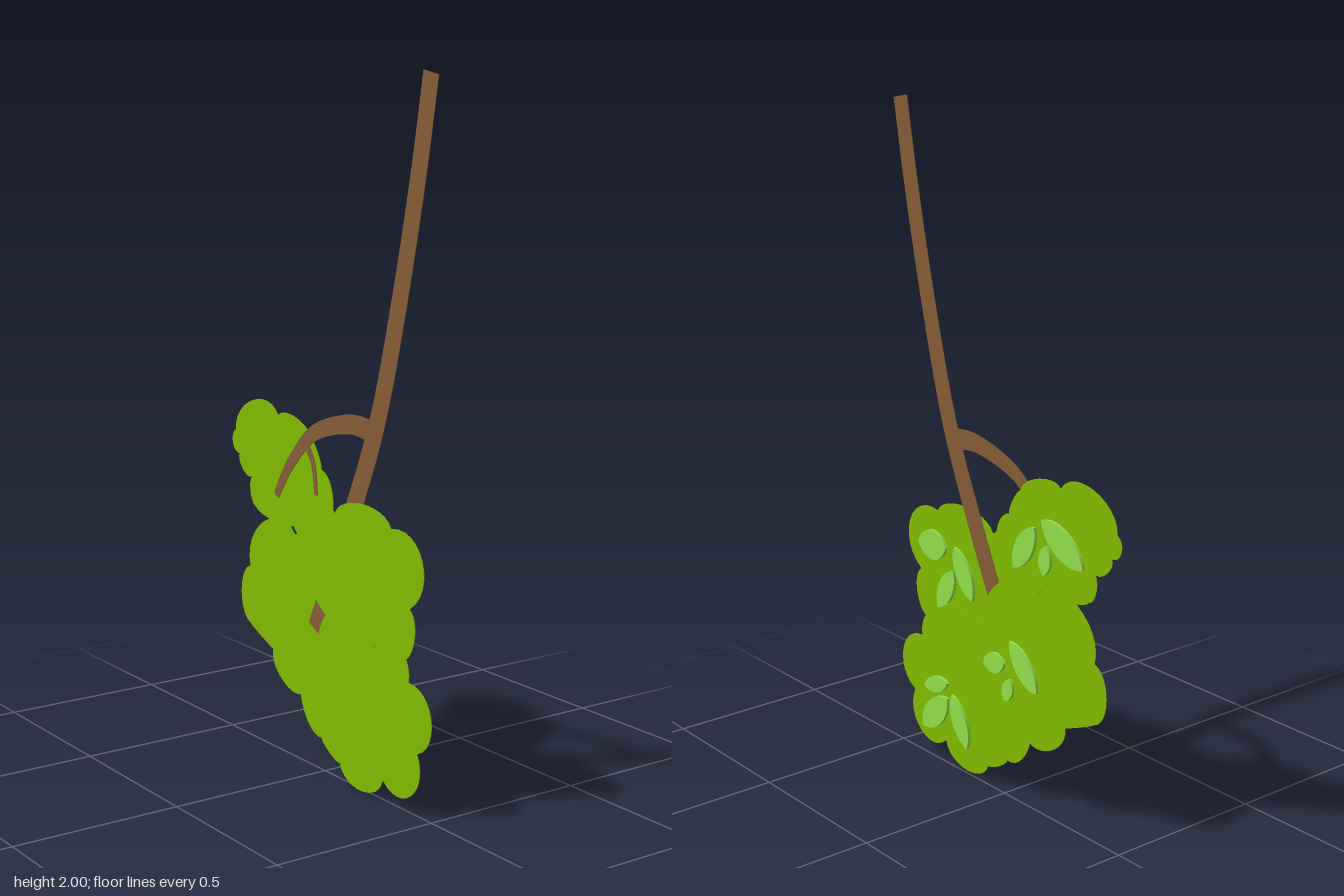
import * as THREE from 'three';

// All 2D points are in hundredths of a unit.
const v = (x, y) => new THREE.Vector2(x / 100, y / 100);

// Left-hand normal of a to b, as long as the chord.
const normal = (a, b) => new THREE.Vector2(a.y - b.y, b.x - a.x);

// Thin solid from a shape, centred on its own plane.
const slab = (shape, depth) =>
  new THREE.ExtrudeGeometry(shape, { depth, bevelEnabled: false, curveSegments: 12 }).translate(0, 0, -depth / 2);

// Adds a curve from a to b that swells by a fraction of the chord.
function bulge(shape, a, b, amount, inset) {
  const n = normal(a, b).multiplyScalar(amount * 4 / 3);
  const c1 = a.clone().lerp(b, inset).add(n);
  const c2 = b.clone().lerp(a, inset).add(n);
  shape.bezierCurveTo(c1.x, c1.y, c2.x, c2.y, b.x, b.y);
}

// Scalloped outline: clockwise notches [x, y, swell of the lobe that follows].
function clumpGeometry(notches) {
  const pts = notches.map(([x, y]) => v(x, y));
  const shape = new THREE.Shape();
  shape.moveTo(pts[0].x, pts[0].y);
  notches.forEach(([, , swell], i) => bulge(shape, pts[i], pts[(i + 1) % pts.length], swell, 0.1));
  return slab(shape, 0.002);
}

// Pointed leaf from base to tip, slightly thick.
function leafGeometry([x1, y1, x2, y2, fullness = 0.21]) {
  const a = v(x1, y1), b = v(x2, y2);
  const shape = new THREE.Shape();
  shape.moveTo(a.x, a.y);
  bulge(shape, a, b, fullness, 0.22);
  bulge(shape, b, a, fullness, 0.22);
  return slab(shape, 0.01);
}

// Thin tapering strip along a smooth path.
function stemGeometry(path, startWidth, endWidth) {
  const curve = new THREE.SplineCurve(path.map(([x, y]) => v(x, y)));
  const left = [], right = [], n = 30;
  for (let i = 0; i <= n; i++) {
    const p = curve.getPoint(i / n), t = curve.getTangent(i / n);
    const half = THREE.MathUtils.lerp(startWidth, endWidth, i / n) / 200;
    const side = new THREE.Vector2(-t.y, t.x).multiplyScalar(half);
    left.push(p.clone().add(side));
    right.unshift(p.clone().sub(side));
  }
  return slab(new THREE.Shape([...left, ...right]), 0.002);
}

export function createModel() {
  const material = (name, color) => {
    const m = new THREE.MeshStandardMaterial({ color });
    m.name = name;
    return m;
  };
  const foliage = material('foliage green', 0x80bc00);
  const bark = material('bark brown', 0x845c36);
  const leafGreen = material('leaf green', 0x92de48);

  const model = new THREE.Group();
  model.name = 'hangingBranch';
  const add = (parent, name, geometry, mat, z) => {
    const mesh = new THREE.Mesh(geometry, mat);
    mesh.name = name;
    mesh.position.z = z;
    parent.add(mesh);
  };
  const addStem = (name, path, startWidth, endWidth) =>
    add(model, name, stemGeometry(path, startWidth, endWidth), bark, 0.01);

  // A clump of foliage with its leaves lying behind it
  const addClump = (name, z, notches, leaves) => {
    const group = new THREE.Group();
    group.name = name;
    add(group, 'foliage', clumpGeometry(notches), foliage, z);
    leaves.forEach((leaf, i) => add(group, `leaf${i + 1}`, leafGeometry(leaf), leafGreen, z - 0.007));
    model.add(group);
  };

  // Branches, all in one plane
  addStem('mainBranch', [[48.2, 199.4], [43, 172], [35.6, 140], [26.3, 107], [14, 78], [-3.5, 41.5]], 6.4, 7);
  addStem('sideBranch', [[25, 103], [13, 103.8], [-4, 98.8], [-16, 88], [-23.3, 77.5]], 6.5, 2.6);
  addStem('twig', [[-9, 96], [-4.5, 90], [-3, 81]], 2.6, 1.5);

  // Foliage, from back to front
  addClump('upperRightClump', -0.015,
    [[-47, 86, 0.38], [-49, 93, 0.28], [-26, 100.5, 0.17], [-9, 96, 0.1], [-4, 88, 0.3],
      [-3, 70, 0.23], [-18, 69, 0.08], [-38, 71, 0.22], [-40, 80, 0.25]],
    [[-16, 87, -7, 73], [-19, 90, -36.5, 80], [-21, 83, -20, 74, 0.27]]);
  addClump('middleRightClump', 0,
    [[-39, 53, 0.33], [-15, 67, 0.26], [9, 53, 0.24], [4, 25, 0.15], [-10, 21, 0.27],
      [-27, 30, 0.02], [-39, 35, 0.28]],
    [[8.5, 39, -1, 41.4, 0.32], [-3.5, 49, -15.5, 36.5], [-3.7, 37.3, -1.2, 30, 0.3]]);
  addClump('lowerLeftClump', 0.0115,
    [[-1, 36, 0.33], [18, 49, 0.28], [41, 37, 0.42], [45, 18, 0.43], [29.5, 6, 0.28],
      [9, 5, 0.1], [0, 10, 0.27], [-9, 27, 0.12]],
    [[27.5, 25.5, 39, 21.5], [27.5, 20.5, 40, 8, 0.23], [25.5, 22.5, 18, 7.5]]);
  addClump('upperLeftClump', 0.022,
    [[-3, 69, 0.38], [8, 78, 0.18], [34, 78.5, 0.47], [42.5, 58, 0.26], [39, 43, 0.02],
      [27, 44.5, 0.17], [5, 47, 0.06], [-4, 54, 0.2]],
    [[29, 68, 42.5, 67, 0.34], [25.5, 62, 33, 48.5], [25, 69.5, 16.5, 55]]);
  return model;
}
